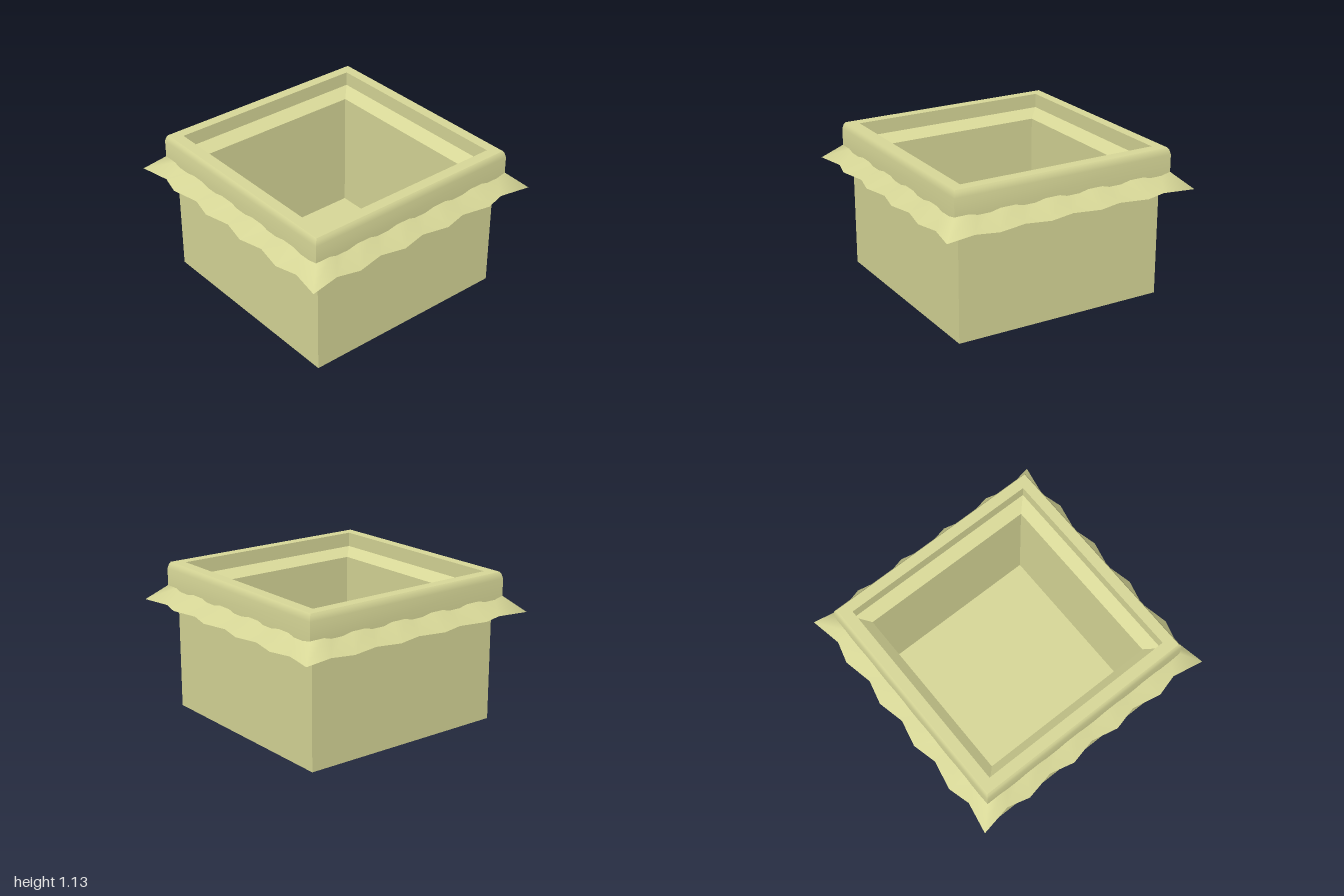
import * as THREE from 'three';
import { toCreasedNormals } from 'three/addons/utils/BufferGeometryUtils.js';

const material = new THREE.MeshStandardMaterial({ color: 0xd8d898, side: THREE.DoubleSide });

// Skin closed rings of points, each ring following the one before it
function loft(rings) {
  const n = rings[0].length;
  const index = [];
  for (let i = 0; i < rings.length - 1; i++) {
    for (let k = 0; k < n; k++) {
      const a = i * n + k, b = i * n + (k + 1) % n;
      index.push(a, b, b + n, a, b + n, a + n);
    }
  }
  const geometry = new THREE.BufferGeometry();
  geometry.setAttribute('position', new THREE.Float32BufferAttribute(rings.flat(2), 3));
  geometry.setIndex(index);
  geometry.computeVertexNormals();
  return geometry;
}

// Square ring of half width r, with the given number of segments per side
function squareRing(r, y, segments = 1, scale = () => 1) {
  const corners = [[1, 1], [1, -1], [-1, -1], [-1, 1]];
  const ring = [];
  corners.forEach(([x, z], c) => {
    const [nx, nz] = corners[(c + 1) % 4];
    for (let s = 0; s < segments; s++) {
      const t = s / segments, f = r * scale(s);
      ring.push([f * (x + (nx - x) * t), y, f * (z + (nz - z) * t)]);
    }
  });
  return ring;
}

// Sweep a [half width, height] profile around the square
const sweep = (profile) =>
  toCreasedNormals(loft(profile.map(([r, y]) => squareRing(r, y))), 0.6);

export function createModel() {
  const group = new THREE.Group();
  const add = (name, geometry) => {
    const mesh = new THREE.Mesh(geometry, material);
    mesh.name = name;
    group.add(mesh);
    return mesh;
  };

  // Outer wall, open at the bottom
  add('outerWall', sweep([[0.82, 0], [0.82, 0.915]]));

  // Overhanging rim with a bevelled top edge
  add('rim', sweep([
    [0.82, 0.915], [0.874, 0.915], [0.874, 1.08], [0.865, 1.115], [0.855, 1.13],
    [0.775, 1.13], [0.775, 1.02],
  ]));

  // Sloping ledge and the straight inside of the tray
  add('innerWall', sweep([[0.775, 1.02], [0.686, 0.96], [0.686, 0.03]]));

  // Outside of the tray, seen from underneath through the gap
  add('trayShell', sweep([[0.686, 0], [0.713, 0.005], [0.713, 0.975]]));

  // Tray floor
  add('floor', new THREE.BoxGeometry(1.372, 0.03, 1.372)).position.y = 0.015;

  // Flared skirt with a zigzag hem, smoothly shaded
  const zigzag = (s) => (s % 2 ? 0.955 : 1);
  add('skirt', loft([squareRing(1, 0.835, 10, zigzag), squareRing(0.82, 1.0, 10)]));

  return group;
}
